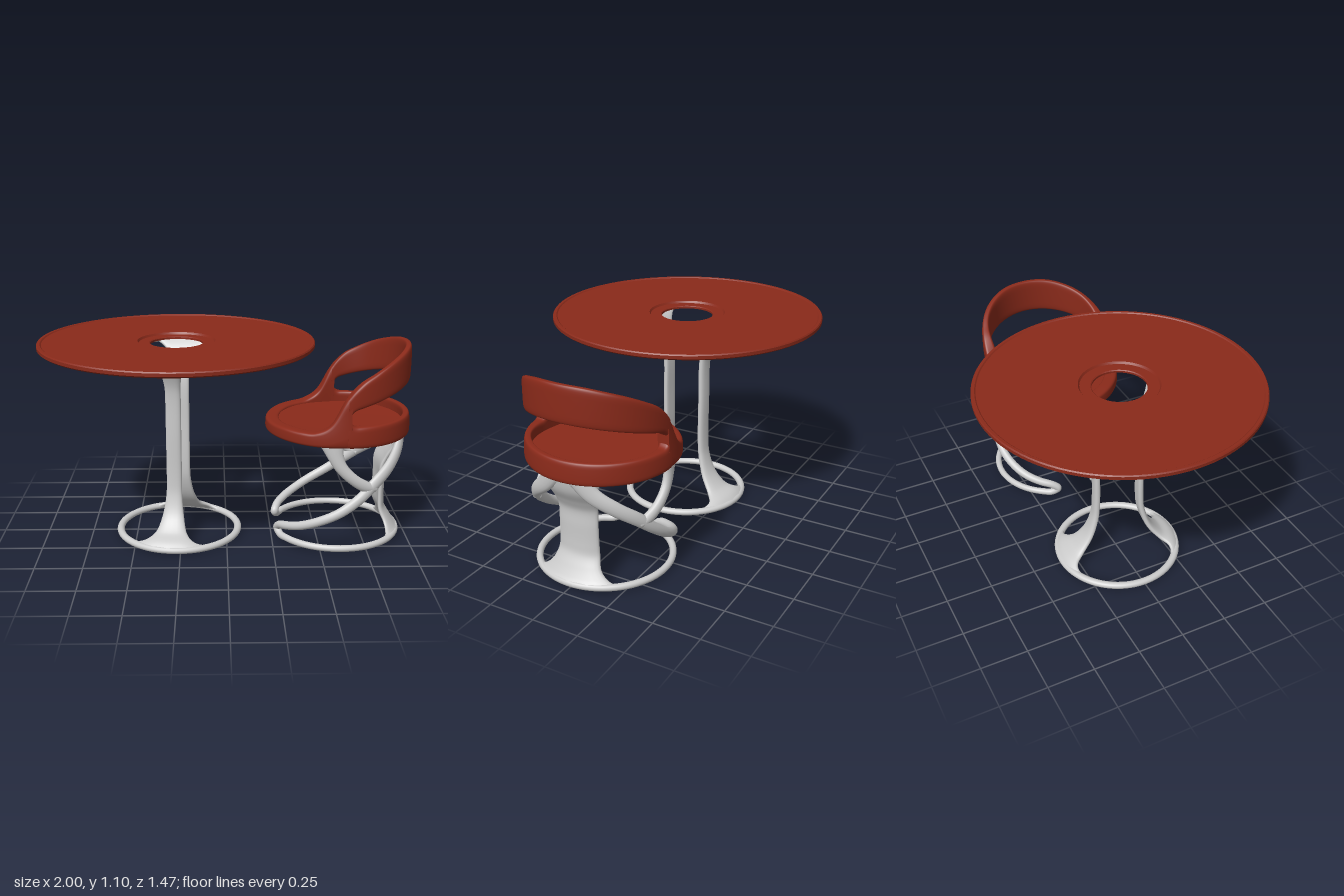
import * as THREE from 'three';
import { mergeVertices, toCreasedNormals } from 'three/addons/utils/BufferGeometryUtils.js';
import { ParametricGeometry } from 'three/addons/geometries/ParametricGeometry.js';

const red = new THREE.MeshStandardMaterial({ color: 0x8a2a1a, side: THREE.DoubleSide });
const grey = new THREE.MeshStandardMaterial({ color: 0xcccccc, side: THREE.DoubleSide });
const FRAME_R = 0.345;

const add = (parent, name, geometry, material) => {
  const mesh = new THREE.Mesh(geometry, material);
  mesh.name = name;
  parent.add(mesh);
  return mesh;
};

// Smooth closed surface from a rule, with its seam welded
function surface(rule, nu, nv) {
  const geo = new ParametricGeometry(rule, nu, nv);
  geo.deleteAttribute('uv');
  geo.deleteAttribute('normal');
  const welded = mergeVertices(geo, 1e-5);
  welded.computeVertexNormals();
  return welded;
}

const curveOf = (pts) => new THREE.CatmullRomCurve3(pts.map((p) => new THREE.Vector3(...p)));
const squared = (v, e = 0.5) => Math.sign(v) * Math.abs(v) ** e;

// Point and in-plane normal of a curve whose third coordinate is a half width
function station(curve, u) {
  const c = curve.getPoint(u);
  const t = curve.getTangent(u);
  const l = Math.hypot(t.x, t.y) || 1;
  return { c, nx: t.y / l, ny: -t.x / l };
}

// Upright blade: stations [radius, y, half width], bent around an axis
function blade(stations, thick, bend) {
  const curve = curveOf(stations);
  return surface((u, v, target) => {
    const { c, nx, ny } = station(curve, u);
    const phi = v * Math.PI * 2;
    const a = (-c.z * squared(Math.cos(phi), 0.7)) / bend;
    const n = thick * squared(Math.sin(phi), 0.7);
    target.set(c.x + n * nx + bend * (Math.cos(a) - 1), c.y + n * ny, bend * Math.sin(a));
  }, 60, 24);
}

// Rod lying on a cylinder: points [angle, y, half width], mirrored by side
function wrappedRod(points, side, n) {
  const curve = curveOf(points.map(([a, y, w]) => [a * FRAME_R, y, w]));
  return surface((u, v, target) => {
    const { c, nx, ny } = station(curve, u);
    const phi = v * Math.PI * 2;
    const off = c.z * Math.cos(phi);
    const a = (side * (c.x + nx * off)) / FRAME_R;
    const r = FRAME_R - side * Math.min(c.z, 0.023) * Math.sin(phi);
    target.set(r * Math.cos(a), c.y + ny * off, r * Math.sin(a));
  }, n, 16);
}

function lathe(profile, segments = 96) {
  const pts = profile.map((p) => new THREE.Vector2(...p));
  return toCreasedNormals(new THREE.LatheGeometry(pts, segments), 0.5);
}

function ring(radius, tube, flat) {
  return new THREE.TorusGeometry(radius, tube, 16, 96).rotateX(Math.PI / 2).scale(1, flat, 1);
}

function createTable() {
  const table = new THREE.Group();
  table.name = 'table';
  add(table, 'tableTop', lathe([
    [0.14, 1.07], [0.725, 1.07], [0.735, 1.078], [0.735, 1.094], [0.73, 1.1], [0.716, 1.1],
    [0.71, 1.095], [0.207, 1.095], [0.2, 1.084], [0.145, 1.084], [0.14, 1.08], [0.14, 1.07],
  ]), red);
  add(table, 'baseRing', ring(0.33, 0.02, 0.9), grey).position.y = 0.02;
  add(table, 'topRing', ring(0.25, 0.019, 0.9), grey).position.y = 1.055;

  // Two opposed pillars, flaring into both rings
  const pillar = blade([
    [0.33, 0.022, 0.23], [0.3, 0.045, 0.14], [0.24, 0.075, 0.088], [0.175, 0.15, 0.06],
    [0.135, 0.26, 0.044], [0.125, 0.36, 0.042], [0.125, 0.6, 0.042], [0.125, 0.8, 0.042],
    [0.135, 0.88, 0.044], [0.165, 0.96, 0.062], [0.2, 1.01, 0.1], [0.235, 1.042, 0.15], [0.25, 1.055, 0.2],
  ], 0.017, 0.3);
  for (const [name, x, z] of [['frontPillar', -0.02, 0.125], ['backPillar', 0.02, -0.125]]) {
    add(table, name, pillar, grey).rotation.y = Math.atan2(-z, x);
  }
  return table;
}

// Shell heights as functions of c = cos(angle from the back of the chair)
const rimCurve = new THREE.SplineCurve(
  [0.67, 0.675, 0.675, 0.682, 0.73, 0.86, 0.94, 0.985, 1.025, 1.06, 1.09].map((y, i) => new THREE.Vector2(i, y)));
const rim = (c) => rimCurve.getPoint(THREE.MathUtils.clamp((c + 1) / 2, 0, 1)).y;
const SLOT = 0.05;
const slotRound = (c) => Math.sqrt(1 - (1 - THREE.MathUtils.clamp((c - SLOT) / 0.12, 0, 1)) ** 2);
const slotBottom = (c) => 0.76 - 0.042 * slotRound(c);
const slotTop = (c) => 0.76 + 0.035 * slotRound(c) + Math.max(0, c - SLOT) * 0.11;

// Curved wall piece between two heights, centred on angle mid
function wall(mid, half, low, high) {
  return surface((u, v, target) => {
    const a = mid + half * Math.sin(Math.PI * (u - 0.5));
    const c = Math.cos(a);
    const phi = v * Math.PI * 2;
    const y0 = low(c), y1 = high(c);
    const y = (y0 + y1) / 2 - ((y1 - y0) / 2) * squared(Math.sin(phi), 0.4);
    const closed = u < 1e-6 || u > 1 - 1e-6 ? 0 : 1;
    const t = (0.019 + 0.018 * (1 - THREE.MathUtils.smoothstep(c, -0.2, 0.6))) * closed;
    const outer = 0.392 - 0.01 * THREE.MathUtils.smoothstep(y, 0.62, 0.8);
    const r = outer - 0.019 - 0.018 * (1 - THREE.MathUtils.smoothstep(c, -0.2, 0.6)) + t * squared(Math.cos(phi));
    target.set(r * Math.cos(a), y, r * Math.sin(a));
  }, 140, 32);
}

function createChair() {
  const chair = new THREE.Group();
  chair.name = 'chair';
  const slotAngle = Math.acos(SLOT);
  const floor = () => 0.605;
  add(chair, 'seatPan', lathe([
    [0, 0.607], [0.365, 0.607], [0.365, 0.662], [0.3, 0.66], [0.15, 0.657], [0, 0.656],
  ]), red);
  add(chair, 'seatFrontAndArms', wall(Math.PI, Math.PI - slotAngle + 0.02, floor, rim), red);
  add(chair, 'seatBackRim', wall(0, slotAngle + 0.03, floor, slotBottom), red);
  add(chair, 'backrest', wall(0, slotAngle + 0.03, slotTop, rim), red);

  // Open base hoop turning back up into the rear support, and a front branch
  const hoop = [
    [-0.1, 0.033, 0.018], [0.5, 0.033, 0.018], [1, 0.033, 0.018], [1.5, 0.033, 0.018], [2, 0.033, 0.018],
    [2.5, 0.034, 0.019], [2.7, 0.036, 0.02], [2.8, 0.062, 0.022], [2.71, 0.088, 0.022], [2.5, 0.109, 0.023],
    [2.226, 0.137, 0.024], [1.896, 0.185, 0.025], [1.6, 0.238, 0.026], [1.308, 0.31, 0.029],
    [1.055, 0.382, 0.034], [0.717, 0.462, 0.037], [0.4, 0.54, 0.044], [0.22, 0.615, 0.055],
  ];
  const branch = [
    [1.05, 0.36, 0.022], [1.2, 0.375, 0.03], [1.425, 0.425, 0.03], [1.61, 0.49, 0.033],
    [1.7, 0.55, 0.042], [1.76, 0.62, 0.064],
  ];
  for (const [name, side] of [['front', 1], ['back', -1]]) {
    add(chair, name + 'SideHoop', wrappedRod(hoop, side, 200), grey);
    add(chair, name + 'SideBranch', wrappedRod(branch, side, 40), grey);
  }

  // Rear blade between the hoop and the seat
  add(chair, 'rearSupport', blade([
    [0.345, 0.033, 0.27], [0.325, 0.055, 0.2], [0.295, 0.1, 0.145], [0.263, 0.16, 0.122],
    [0.257, 0.22, 0.116], [0.257, 0.32, 0.114], [0.259, 0.41, 0.116], [0.285, 0.47, 0.125],
    [0.325, 0.54, 0.15], [0.345, 0.62, 0.19],
  ], 0.018, FRAME_R), grey);
  return chair;
}

export function createModel() {
  const model = new THREE.Group();
  model.name = 'tableAndChair';
  const table = createTable();
  table.position.x = -0.265;
  const chair = createChair();
  chair.position.x = 0.606;
  model.add(table, chair);
  return model;
}
